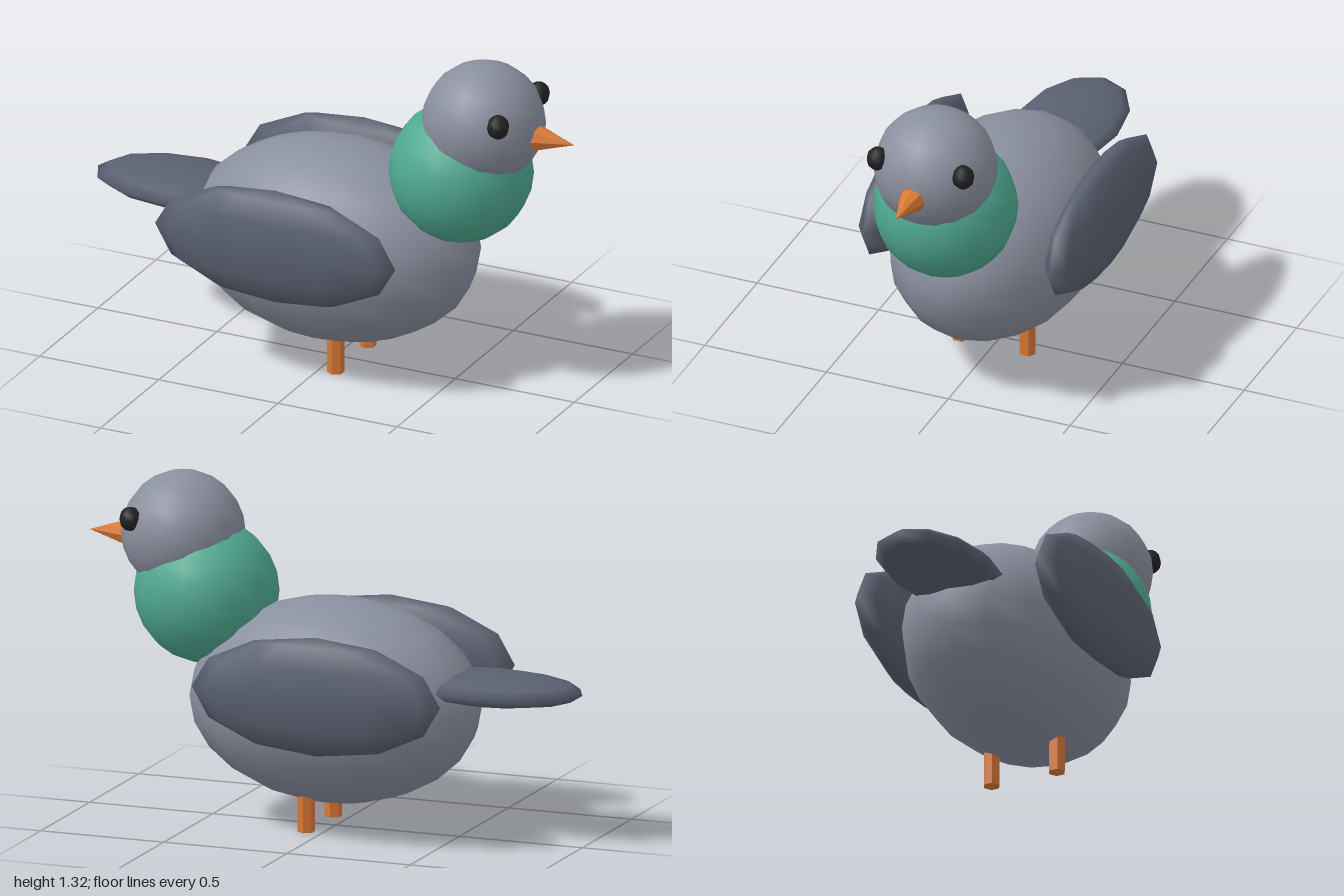
import * as THREE from 'three';

const mat = (name, color) => {
  const m = new THREE.MeshStandardMaterial({ color });
  m.name = name;
  return m;
};

export function createModel() {
  const bird = new THREE.Group();
  bird.name = 'bird';

  const grey = mat('plumageGrey', 0x8a8f9e);
  const slate = mat('wingSlate', 0x5a6070);
  const green = mat('neckGreen', 0x4fa88f);
  const orange = mat('beakOrange', 0xd97835);
  const black = mat('eyeBlack', 0x222222);

  const add = (name, geometry, material, x, y, z) => {
    const mesh = new THREE.Mesh(geometry, material);
    mesh.name = name;
    mesh.position.set(x, y, z);
    bird.add(mesh);
    return mesh;
  };

  // Smooth ellipsoid from a low-segment sphere
  const ellipsoid = (rx, ry, rz, w, h) =>
    new THREE.SphereGeometry(1, w, h).scale(rx, ry, rz);

  // Separate the faces so each facet is shaded flat
  const faceted = (geometry) => {
    const g = geometry.toNonIndexed();
    g.computeVertexNormals();
    return g;
  };

  // Body, neck and head
  add('body', ellipsoid(0.58, 0.393, 0.39, 16, 12), grey, 0, 0.489, 0);
  add('neck', ellipsoid(0.275, 0.275, 0.275, 16, 12), green, 0.525, 0.865, 0);
  add('head', ellipsoid(0.235, 0.235, 0.235, 16, 12), grey, 0.62, 1.085, 0);

  // Beak points along +x
  const beak = faceted(new THREE.ConeGeometry(0.056, 0.17, 8)).rotateZ(-Math.PI / 2);
  add('beak', beak, orange, 0.915, 1.06, 0);

  // Flat tail
  add('tail', ellipsoid(0.37, 0.061, 0.208, 12, 6), slate, -0.63, 0.588, 0);

  // Paired parts on both sides
  for (const [label, s] of [['Near', 1], ['Far', -1]]) {
    add('wing' + label, ellipsoid(0.504, 0.23, 0.088, 12, 6), slate, -0.07, 0.586, s * 0.381);
    add('eye' + label, ellipsoid(0.044, 0.047, 0.044, 8, 6), black, 0.765, 1.158, s * 0.175);
    add('leg' + label, faceted(new THREE.CylinderGeometry(0.033, 0.033, 0.2, 6)), orange, 0.066, 0.1, s * 0.138);
  }

  return bird;
}
